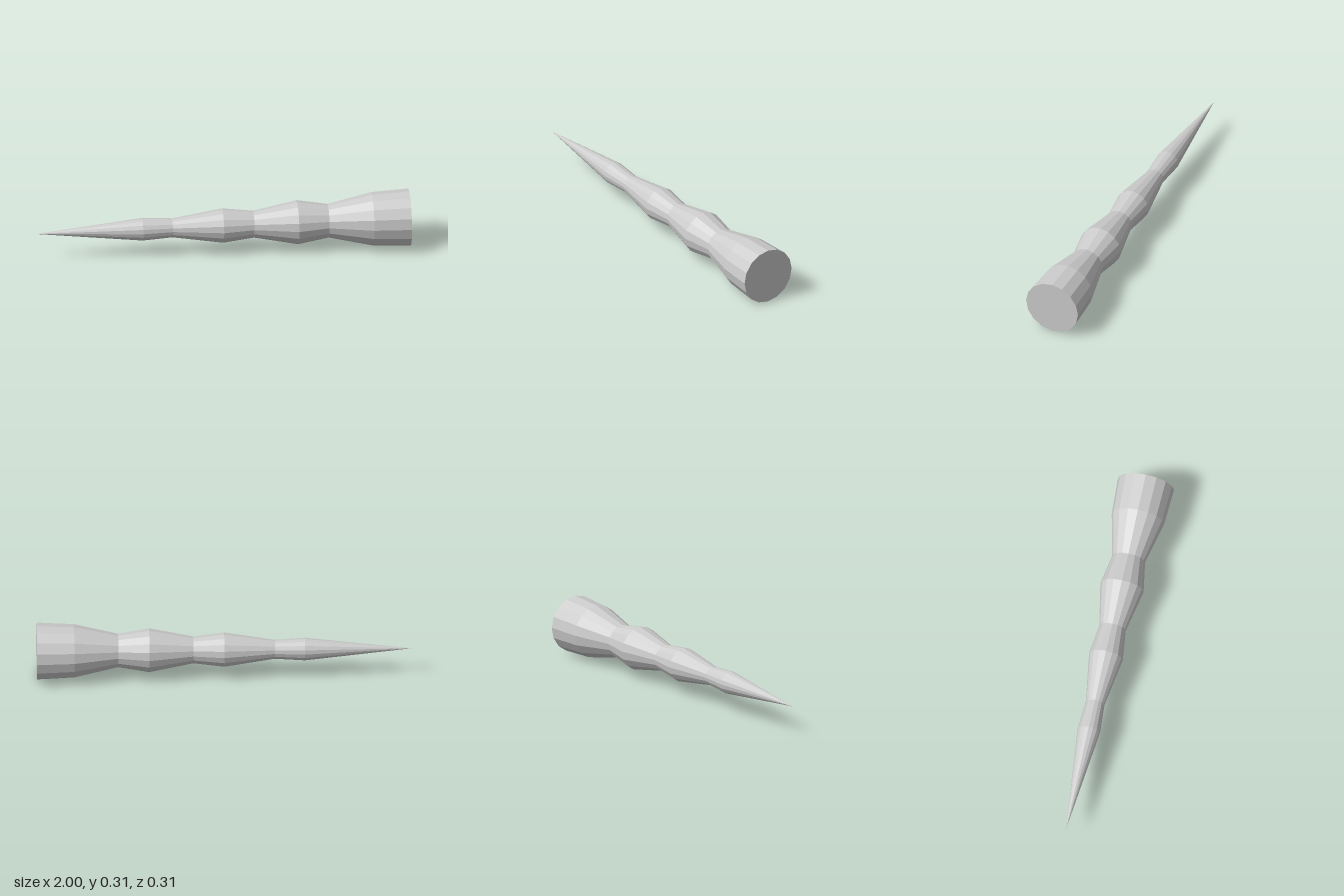
import * as THREE from 'three';

export function createModel() {
  const model = new THREE.Group();
  model.name = 'taperedSpike';

  const grey = new THREE.MeshStandardMaterial({ color: 0xcccccc, flatShading: true });
  grey.name = 'light grey';

  const sides = 16;
  const baseRadius = 0.153;

  // Profile as [radius, position along x], from the pointed tip to the wide base
  const profile = [
    [0, -1], [0.061, -0.43], [0.051, -0.27], [0.092, 0], [0.072, 0.165],
    [0.118, 0.4], [0.09, 0.565], [0.143, 0.8], [baseRadius, 1],
  ].map(([r, x]) => new THREE.Vector2(r, x));

  // Faceted, swelling shaft laid along x
  const shaft = new THREE.Mesh(new THREE.LatheGeometry(profile, sides).rotateZ(-Math.PI / 2), grey);
  shaft.name = 'shaft';
  shaft.position.y = baseRadius;

  // Flat disc closing the wide end
  const cap = new THREE.Mesh(new THREE.CircleGeometry(baseRadius, sides).rotateY(Math.PI / 2), grey);
  cap.name = 'baseCap';
  cap.position.set(1, baseRadius, 0);

  model.add(shaft, cap);
  return model;
}
